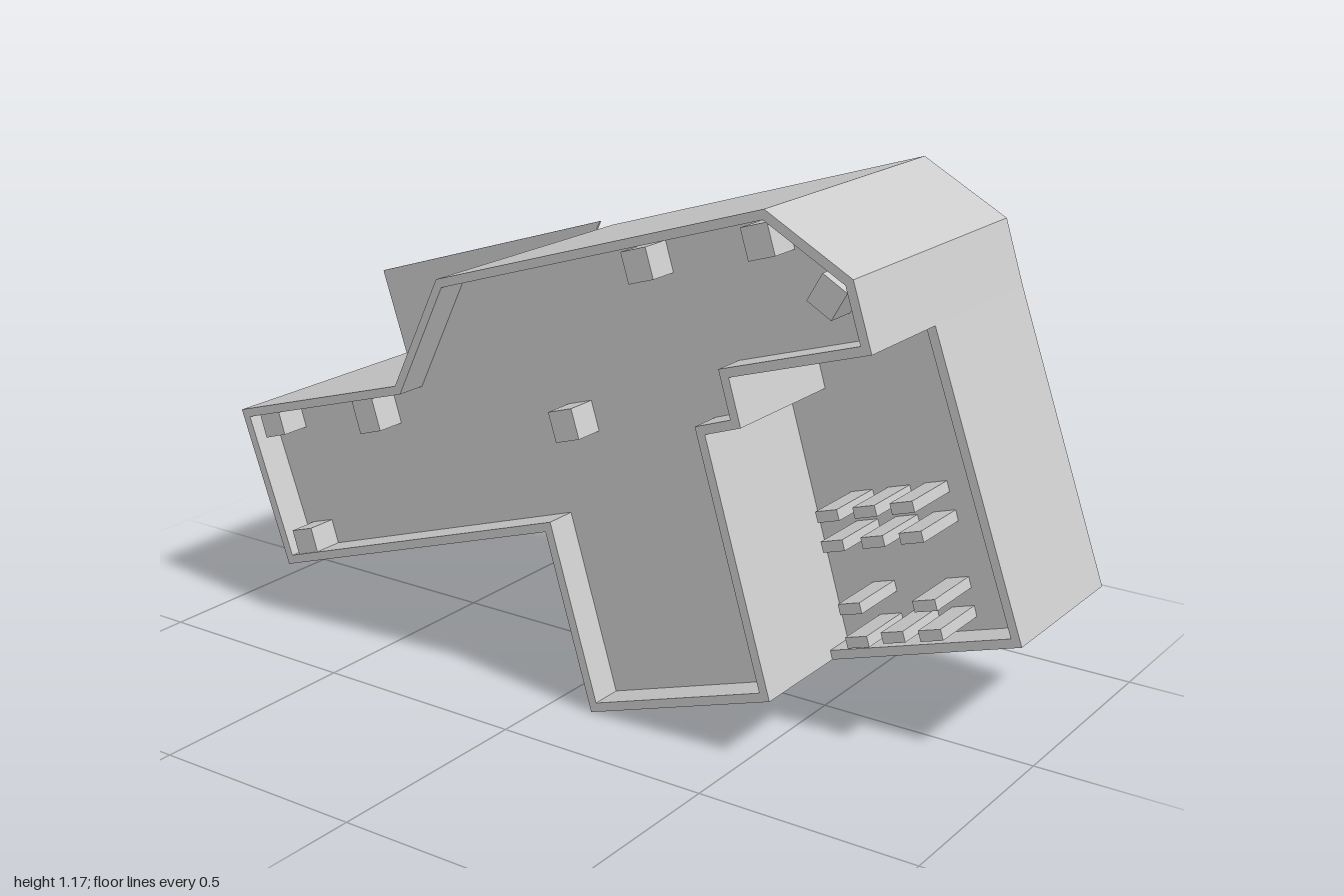
import * as THREE from 'three';

const TILT = 0.303; // the whole object leans by this angle
const BACK = -0.325, FRONT = 0.325, STEP = 0.07;
const RIM = 0.02, RECESS = 0.075;

const material = new THREE.MeshStandardMaterial({ color: 0xcccccc, flatShading: true });
const toVectors = (pts) => pts.map(([x, y]) => new THREE.Vector2(x, y));

// Moves every edge of a counterclockwise outline inward by d
function inset(pts, d) {
  const n = pts.length;
  return pts.map((p, i) => {
    const a = p.clone().sub(pts[(i + n - 1) % n]).normalize();
    const b = pts[(i + 1) % n].clone().sub(p).normalize();
    const na = new THREE.Vector2(-a.y, a.x);
    const nb = new THREE.Vector2(-b.y, b.x);
    const k = d / (1 + na.dot(nb));
    return p.clone().add(na.add(nb).multiplyScalar(k));
  });
}

// Extrudes an outline between two depths, optionally with a hole
function slab(name, pts, z0, z1, hole) {
  const shape = new THREE.Shape(pts);
  if (hole) shape.holes.push(new THREE.Path(hole));
  const geometry = new THREE.ExtrudeGeometry(shape, { depth: z1 - z0, bevelEnabled: false });
  geometry.translate(0, 0, z0);
  const mesh = new THREE.Mesh(geometry, material);
  mesh.name = name;
  return mesh;
}

// Tilted block standing between two depths
function block(name, x, y, w, h, z0, z1, angle = TILT) {
  const mesh = new THREE.Mesh(new THREE.BoxGeometry(w, h, z1 - z0), material);
  mesh.position.set(x, y, (z0 + z1) / 2);
  mesh.rotation.z = angle;
  mesh.name = name;
  return mesh;
}

export function createModel() {
  const model = new THREE.Group();
  model.name = 'housing';

  // Main body with a shallow rimmed recess in the front
  const outline = toVectors([
    [-0.93, 0.51], [-0.80, 0.145], [-0.02, 0.40], [0.10, 0.005], [0.555, 0.155],
    [0.39, 0.70], [0.475, 0.73], [0.445, 0.83], [0.765, 0.93], [0.72, 1.07],
    [0.52, 1.18], [-0.31, 0.92], [-0.44, 0.655],
  ]);
  model.add(slab('mainBody', outline, BACK, FRONT - RECESS));
  model.add(slab('mainRim', outline, FRONT - RECESS, FRONT, inset(outline, RIM)));

  // Lower side section, set back from the front
  const side = toVectors([
    [0.555, 0.155], [0.99, 0.295], [0.765, 0.93], [0.445, 0.83], [0.475, 0.73], [0.39, 0.70],
  ]);
  model.add(slab('sideBody', side, BACK, STEP - RECESS));
  const sideRim = toVectors([
    [0.555, 0.155], [0.99, 0.295], [0.765, 0.93], [0.745, 0.924], [0.965, 0.308], [0.549, 0.175],
  ]);
  model.add(slab('sideRim', sideRim, STEP - RECESS, STEP));

  // Thin plate standing up near the back
  const plate = toVectors([[-0.93, 0.51], [-0.44, 0.655], [-0.305, 0.94], [-1.0, 0.72]]);
  model.add(slab('rearPlate', plate, -0.274, -0.268));

  // Mounting pegs in the main recess
  const pegs = new THREE.Group();
  pegs.name = 'mountingPegs';
  const pegSpots = [
    [-0.835, 0.495], [-0.535, 0.57], [-0.745, 0.21], [0.03, 0.65],
    [0.22, 1.025], [0.505, 1.113], [0.662, 1.027, -0.52],
  ];
  pegSpots.forEach(([x, y, angle], i) => {
    const h = i === 1 ? 0.085 : 0.068;
    pegs.add(block('peg', x, y, 0.064, h, FRONT - RECESS, FRONT - 0.003, angle));
  });
  model.add(pegs);

  // Rows of contact pins in the side section
  const pins = new THREE.Group();
  pins.name = 'contactPins';
  const pinSpots = [
    [0.575, 0.51], [0.662, 0.538], [0.747, 0.565],
    [0.59, 0.447], [0.683, 0.477], [0.77, 0.506],
    [0.635, 0.318], [0.807, 0.367],
    [0.655, 0.248], [0.738, 0.28], [0.823, 0.306],
  ];
  for (const [x, y] of pinSpots) {
    pins.add(block('pin', x, y, 0.053, 0.024, STEP - RECESS, 0.145));
  }
  model.add(pins);

  return model;
}
